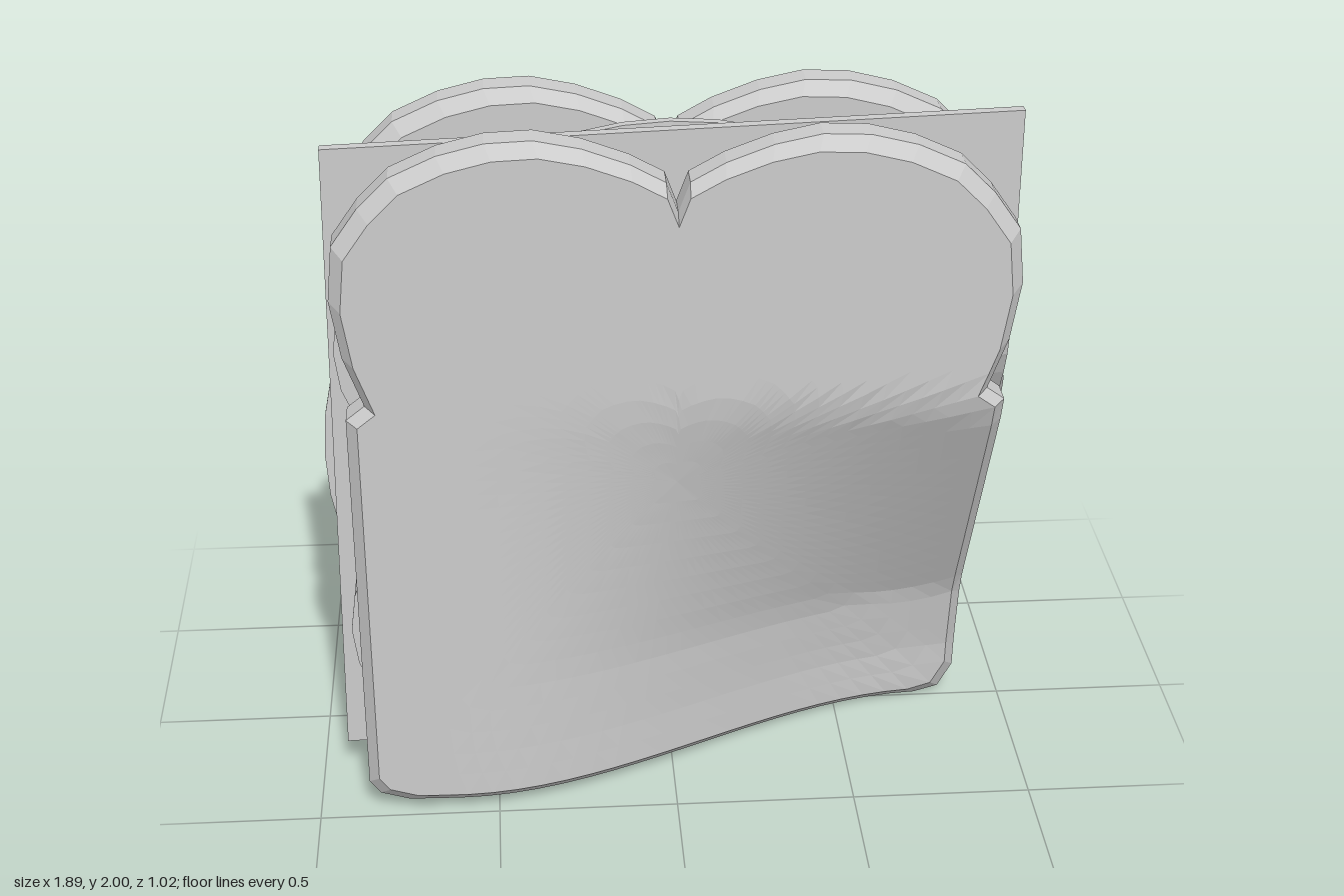
import * as THREE from 'three';

const mat = new THREE.MeshStandardMaterial({ color: 0xcccccc, flatShading: true });

// How far the sag has progressed going down (0 above the crease, 1 at the bottom)
const SAG = [[1.28, 0], [1.2, 0.045], [0.42, 0.88], [0.2, 0.97], [0.0, 1]];
function sagDown(y) {
  if (y >= SAG[0][0]) return 0;
  for (let i = 1; i < SAG.length; i++) {
    const [y0, f0] = SAG[i - 1], [y1, f1] = SAG[i];
    if (y >= y1) return f0 + (f1 - f0) * (y0 - y) / (y0 - y1);
  }
  return 1;
}
// The lower left-hand corner of the sandwich swings backwards
const sag = (x, y) => sagDown(y) * THREE.MathUtils.smoothstep(x, -0.62, 0.8);

// Splits long outline edges so that the slab can bend
function subdivide(points, step = 0.07) {
  const out = [];
  points.forEach(([x, y], i) => {
    const [u, v] = points[(i + 1) % points.length];
    const n = Math.max(1, Math.round(Math.hypot(u - x, v - y) / step));
    for (let k = 0; k < n; k++) out.push([x + (u - x) * k / n, y + (v - y) * k / n]);
  });
  return out;
}

// Bent slab: concentric rings from the front centre, over the rim, to the back centre
function slab(name, outline, { center, z, depth, bevel = 0, inset = 1, rings = 14,
  amount = 0.49, lift = 0, offset = () => 0 }) {
  const h = depth / 2, face = [];
  for (let i = 0; i <= rings; i++) face.push(inset * i / rings);
  const profile = face.map(s => [s, h]);
  if (bevel) profile.push([1, h - bevel], [1, bevel - h]);
  profile.push(...face.reverse().map(s => [s, -h]));

  const n = outline.length, pos = [], index = [];
  for (const [s, dz] of profile) {
    for (const [px, py] of outline) {
      const x = center[0] + s * (px - center[0]), y = center[1] + s * (py - center[1]);
      const w = sag(x, y);
      pos.push(x, y + lift * w, z + dz + offset(x, y) - amount * w);
    }
  }
  for (let i = 0; i < profile.length - 1; i++) {
    for (let j = 0; j < n; j++) {
      const k = (j + 1) % n;
      const a = i * n + j, b = a + n, c = (i + 1) * n + k, d = i * n + k;
      if (profile[i + 1][0] > 0) index.push(a, b, c);
      if (profile[i][0] > 0) index.push(a, c, d);
    }
  }
  const indexed = new THREE.BufferGeometry();
  indexed.setAttribute('position', new THREE.Float32BufferAttribute(pos, 3));
  indexed.setIndex(index);
  const geometry = indexed.toNonIndexed();
  geometry.computeVertexNormals();
  const mesh = new THREE.Mesh(geometry, mat);
  mesh.name = name;
  return mesh;
}

function circle(cx, cy, r, n) {
  return Array.from({ length: n }, (_, i) => {
    const t = i / n * Math.PI * 2;
    return [cx + r * Math.cos(t), cy + r * Math.sin(t)];
  });
}

export function createModel() {
  const group = new THREE.Group();
  group.name = 'sandwich';

  // Bread: two lobes on top, pinched waist, square base
  const lobe = [[0.81, 1.28], [0.86, 1.42], [0.885, 1.58], [0.87, 1.73], [0.8, 1.83], [0.72, 1.91],
    [0.6, 1.965], [0.48, 1.995], [0.36, 2], [0.24, 1.975], [0.12, 1.93], [0.03, 1.88]];
  const bread = subdivide([
    [-0.86, 0.1], [-0.83, 0.06], [-0.75, 0.035], [0.75, 0.0], [0.82, 0.02], [0.86, 0.1], [0.86, 1.24],
    ...lobe, [0, 1.8],
    ...lobe.map(([x, y]) => [-x, y]).reverse(), [-0.86, 1.24],
  ]);
  const slice = { center: [0, 1.02], depth: 0.145, bevel: 0.035, inset: 0.965 };
  group.add(slab('frontBread', bread, { ...slice, z: 0.435 }));
  group.add(slab('backBread', bread, { ...slice, z: 0.05, lift: 0.045 }));

  // Four round tomato slices behind the front bread
  for (const cx of [-0.47, 0.38]) {
    for (const cy of [1.38, 0.53]) {
      group.add(slab('tomatoSlice', circle(cx, cy, 0.42, 24),
        { center: [cx, cy], z: 0.318, depth: 0.085, rings: 8 }));
    }
  }

  // Cheese: a square sheet set at a slight angle, corners showing
  const cheese = subdivide([[-0.93, 0.09], [0.92, 0.1], [0.92, 1.945], [-0.9, 1.905]]);
  group.add(slab('cheese', cheese, {
    center: [0, 1.02], z: 0.217, depth: 0.03, amount: 0.55, offset: x => -0.03 * x,
  }));

  // Large round filling with a gently wavy surface
  group.add(slab('wavyFilling', circle(0, 0.98, 0.945, 48), {
    center: [0, 0.98], z: 0.155, depth: 0.025, amount: 0.5,
    offset: (x, y) => 0.016 * Math.sin(5 * x + 2) * Math.cos(4 * y) - 0.008 * x,
  }));

  return group;
}
